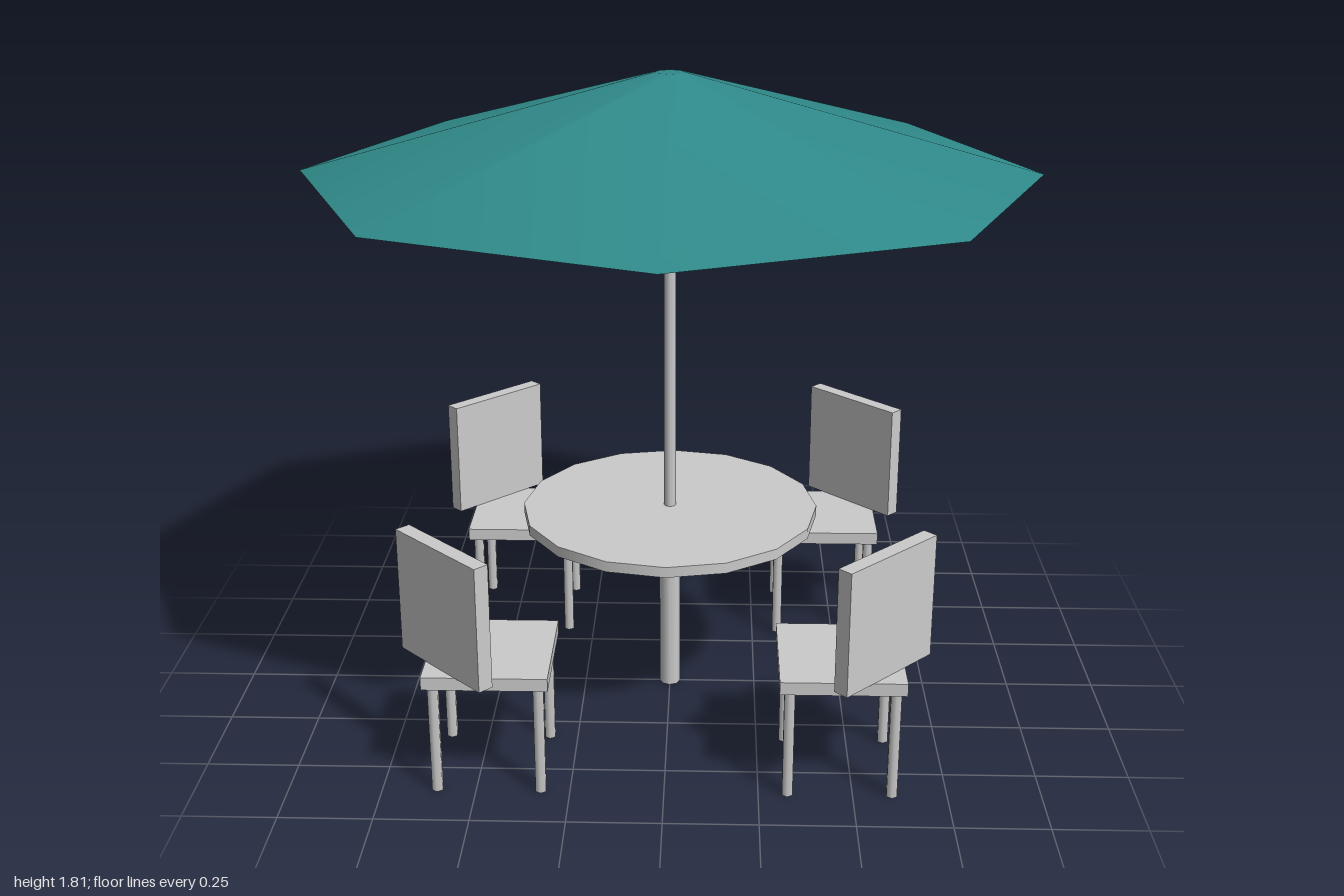
import * as THREE from 'three';

const grey = new THREE.MeshStandardMaterial({ color: 0xcccccc });
const teal = new THREE.MeshStandardMaterial({ color: 0x308a8a });

function addPart(parent, name, geometry, x, y, z, material = grey) {
  const mesh = new THREE.Mesh(geometry, material);
  mesh.name = name;
  mesh.position.set(x, y, z);
  parent.add(mesh);
  return mesh;
}

// Upright cylinder standing between two heights
function column(parent, name, rTop, rBottom, y0, y1, sides, x = 0, z = 0, material = grey) {
  const geometry = new THREE.CylinderGeometry(rTop, rBottom, y1 - y0, sides);
  return addPart(parent, name, geometry, x, (y0 + y1) / 2, z, material);
}

// Square seat on four legs, with the backrest set across its outer corner
function createChair(sx, sz) {
  const chair = new THREE.Group();
  chair.name = 'chair';
  const centre = 0.465;
  addPart(chair, 'seat', new THREE.BoxGeometry(0.33, 0.036, 0.33), sx * centre, 0.33, sz * centre);
  for (const dx of [-1, 1]) {
    for (const dz of [-1, 1]) {
      column(chair, 'chairLeg', 0.016, 0.016, 0, 0.312, 6,
        sx * centre + dx * 0.138, sz * centre + dz * 0.138);
    }
  }
  const back = addPart(chair, 'backrest', new THREE.BoxGeometry(0.335, 0.346, 0.043),
    sx * 0.57, 0.521, sz * 0.57);
  back.rotation.y = Math.atan2(sx, sz);
  return chair;
}

export function createModel() {
  const model = new THREE.Group();
  model.name = 'patioSet';

  // Table
  column(model, 'tablePost', 0.03, 0.03, 0, 0.54, 8);
  column(model, 'tableTop', 0.42, 0.42, 0.54, 0.57, 16);

  // Parasol
  column(model, 'parasolPole', 0.017, 0.017, 0.54, 1.6, 8);
  column(model, 'parasolCanopy', 0.04, 1, 1.54, 1.808, 8, 0, 0, teal);

  // Four chairs on the diagonals
  for (const sx of [-1, 1]) {
    for (const sz of [-1, 1]) model.add(createChair(sx, sz));
  }
  return model;
}
